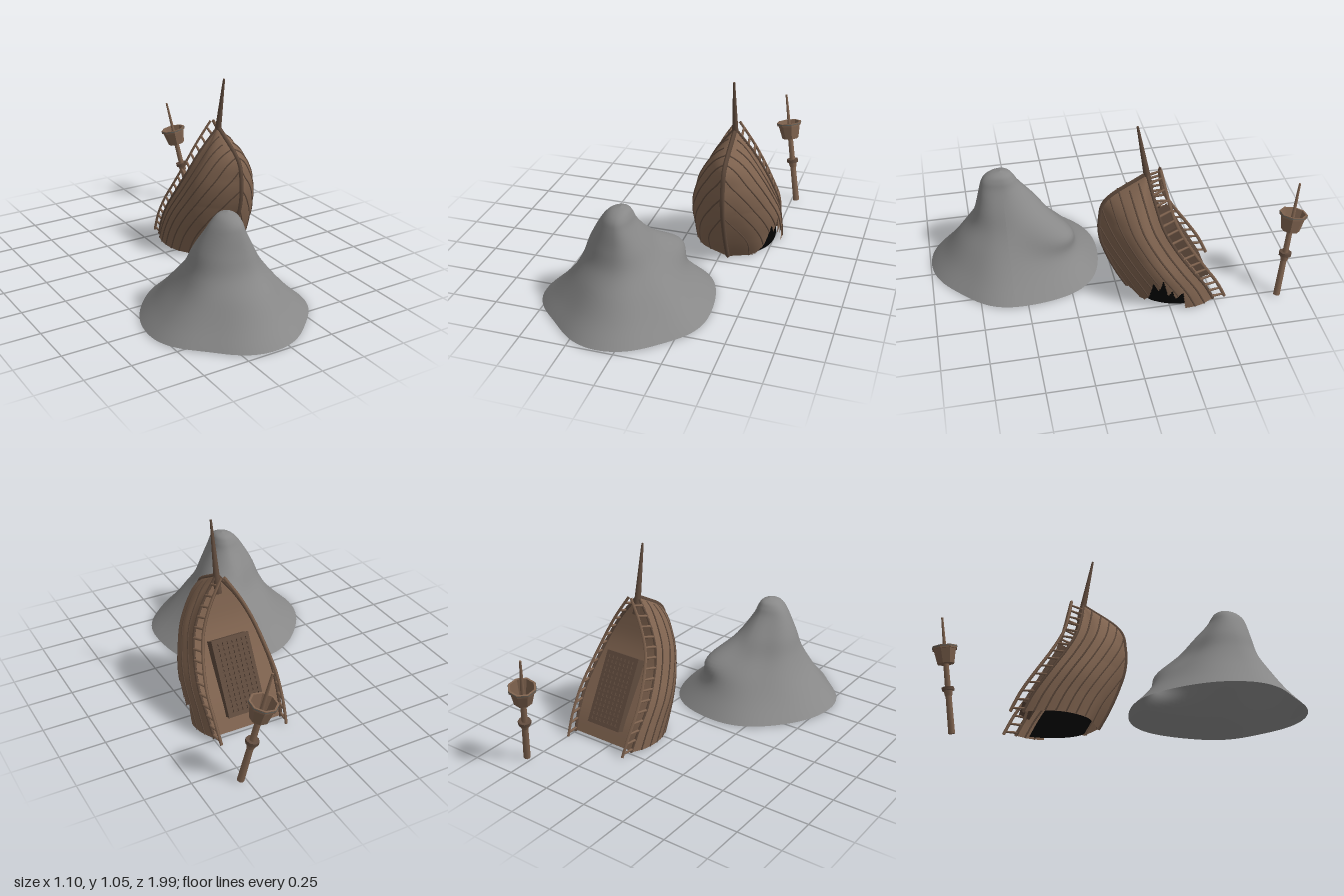
import * as THREE from 'three';

const mat = (color) => new THREE.MeshStandardMaterial({ color, side: THREE.DoubleSide });
const wood = mat(0x7f634f), darkWood = mat(0x604b3d), rockGrey = mat(0x888888);
const black = mat(0x030303), iron = mat(0x5e6360);

// smooth interpolation through evenly spaced values, u in 0..1
function spline(vals, u) {
  const n = vals.length - 1, f = Math.min(Math.max(u, 0), 1) * n;
  const i = Math.min(Math.floor(f), n - 1), t = f - i;
  const b = vals[i], c = vals[i + 1];
  const a = i > 0 ? vals[i - 1] : 2 * b - c, d = i < n - 1 ? vals[i + 2] : 2 * c - b;
  return b + 0.5 * t * (c - a + t * (2 * a - 5 * b + 4 * c - d + t * (3 * (b - c) + d - a)));
}

// surface grid from a point rule; skip() leaves out single cells
function grid(fn, nu, nv, skip = () => false) {
  const pos = [], idx = [];
  for (let i = 0; i <= nu; i++) for (let j = 0; j <= nv; j++) pos.push(...fn(i / nu, j / nv));
  for (let i = 0; i < nu; i++) for (let j = 0; j < nv; j++) {
    if (skip(...fn((i + 0.5) / nu, (j + 0.5) / nv))) continue;
    const a = i * (nv + 1) + j, b = a + nv + 1;
    idx.push(a, b, a + 1, b, b + 1, a + 1);
  }
  const g = new THREE.BufferGeometry();
  g.setAttribute('position', new THREE.Float32BufferAttribute(pos, 3));
  g.setIndex(idx);
  g.computeVertexNormals();
  return g;
}

function add(parent, name, geo, material, x = 0, y = 0, z = 0) {
  const m = new THREE.Mesh(geo, material);
  m.name = name;
  m.position.set(x, y, z);
  parent.add(m);
  return m;
}

function tube(parent, name, pts, r, material) {
  const path = new THREE.CatmullRomCurve3(pts.map((p) => new THREE.Vector3(...p)));
  return add(parent, name, new THREE.TubeGeometry(path, Math.max(8, pts.length * 2), r, 4), material);
}

// tapered rod between two points
function rod(parent, name, a, b, r0, r1, material, sides = 8) {
  const A = new THREE.Vector3(...a), B = new THREE.Vector3(...b), d = B.clone().sub(A);
  const m = add(parent, name, new THREE.CylinderGeometry(r1, r0, d.length(), sides), material);
  m.position.copy(A).add(B).multiplyScalar(0.5);
  m.quaternion.setFromUnitVectors(new THREE.Vector3(0, 1, 0), d.normalize());
}

// hull lines by height: sheer z, stem z, half width
const TOP = 0.75;
const sheerZ = (y) => spline([-0.5, -0.44, -0.36, -0.28, -0.215, -0.18, -0.155], y / TOP);
const stemZ = (y) => spline([-0.065, 0, 0.052, 0.09, 0.094, 0.055, -0.14], y / TOP);
const halfW = (y) => spline([0.245, 0.252, 0.25, 0.22, 0.175, 0.104, 0.01], y / TOP);
function hullPoint(y, t, s) {
  const h = y / TOP, low = 1 - Math.min(1, h * 2.2);
  const f = spline([0.8 + 0.2 * h, 0.95, 1, 0.93 + 0.05 * low, 0.74 + 0.13 * low, 0.44 + 0.18 * low, 0], t);
  return [s * halfW(y) * f, y, sheerZ(y) + t * (stemZ(y) - sheerZ(y))];
}
// jagged breach low on the left side
const breach = [[-0.33, 0], [-0.31, 0.13], [-0.27, 0.09], [-0.25, 0.15], [-0.23, 0.11], [-0.2, 0.23],
  [-0.18, 0.14], [-0.15, 0.2], [-0.14, 0.08], [-0.115, 0]];
function inBreach(x, y, z) {
  if (x < 0) return false;
  for (let i = 0; i < breach.length - 1; i++) {
    const [a, ya] = breach[i], [b, yb] = breach[i + 1];
    if (z >= a && z < b) return y < ya + (yb - ya) * (z - a) / (b - a);
  }
  return false;
}

function createShip() {
  const ship = new THREE.Group();
  ship.name = 'shipwreck';
  ship.position.x = 0.298;
  const Y0 = 0.012, at = (u) => Y0 + (TOP - Y0) * u;

  for (const s of [-1, 1]) {
    add(ship, 'hullSide', grid((u, v) => hullPoint(at(u), v, s), 120, 100, inBreach), wood);

    // raised planks parallel to the sheer
    for (const d of [0, 0.055, 0.11, 0.165, 0.22, 0.275, 0.33, 0.385]) {
      const pts = [];
      for (let i = 45; i >= 0; i--) {
        const y = at(i / 45), t = d / (stemZ(y) - sheerZ(y));
        if (t > 1) continue;
        const p = hullPoint(y, t, s);
        if (inBreach(...p)) break;
        pts.push(p);
      }
      if (pts.length > 2) tube(ship, 'hullPlank', pts, d ? 0.005 : 0.009, darkWood);
    }

    // railing
    const railPoint = (y) => {
      const p = hullPoint(y, 0, s);
      return [p[0] * (0.97 - 0.12 * y / TOP), y + 0.025 * y / TOP, p[2] - 0.068];
    };
    tube(ship, 'rail', Array.from({ length: 16 }, (_, i) => railPoint(at(i / 15))), 0.009, wood);
    for (let i = 0; i < 15; i++) {
      const y = 0.03 + i * 0.049;
      rod(ship, 'railPost', hullPoint(y, 0, s), railPoint(y), 0.008, 0.006, wood, 6);
    }
  }

  // dark hold behind the breach
  add(ship, 'darkHold', grid((u, v) => {
    const p = hullPoint(0.012 + 0.25 * u, 0.2 + 0.68 * v, 1);
    return [p[0] * 0.84, p[1], p[2] - 0.01];
  }, 10, 16), black);

  // deck
  add(ship, 'deck', grid((u, v) => {
    const p = hullPoint(at(u), 0, 1);
    return [p[0] * (2 * v - 1), p[1], p[2] + 0.012];
  }, 24, 4), wood);

  // stem and bowsprit
  tube(ship, 'stem', Array.from({ length: 24 }, (_, i) => {
    const y = at(i / 23);
    return [0, y, stemZ(y) - 0.002];
  }), 0.013, darkWood);
  rod(ship, 'bowsprit', [0, 0.66, -0.17], [0, 1.05, -0.1], 0.021, 0.006, darkWood);

  // hatch with grating, lying on the sloping deck
  const hatch = new THREE.Group();
  hatch.name = 'hatch';
  hatch.position.set(0, 0.28, -0.383);
  hatch.rotation.x = -Math.PI + Math.atan2(0.475, 0.88);
  ship.add(hatch);
  const W = 0.215, H = 0.41, cols = 7, rows = 14, cell = 0.027;
  const shape = new THREE.Shape([[-1, -1], [1, -1], [1, 1], [-1, 1]]
    .map(([a, b]) => new THREE.Vector2(a * W / 2, b * H / 2)));
  for (let i = 0; i < cols; i++) for (let j = 0; j < rows; j++) {
    const cx = (i - (cols - 1) / 2) * cell, cy = (j - (rows - 1) / 2) * cell, h = 0.0075;
    shape.holes.push(new THREE.Path([[-1, -1], [-1, 1], [1, 1], [1, -1]]
      .map(([a, b]) => new THREE.Vector2(cx + a * h, cy + b * h))));
  }
  add(hatch, 'grating', new THREE.ExtrudeGeometry(shape, { depth: 0.01, bevelEnabled: false }), darkWood);
  add(hatch, 'hatchBase', new THREE.BoxGeometry(W - 0.006, H - 0.006, 0.055), darkWood, 0, 0, -0.0275);
  return ship;
}

function createMast() {
  const mast = new THREE.Group();
  mast.name = 'mast';
  const foot = new THREE.Vector3(0.53, 0.012, -0.847), tip = new THREE.Vector3(0.415, 0.665, -0.95);
  const axis = tip.clone().sub(foot), len = axis.length();
  mast.position.copy(foot);
  mast.quaternion.setFromUnitVectors(new THREE.Vector3(0, 1, 0), axis.normalize());
  const cyl = (name, rTop, rBot, y0, y1, m) =>
    add(mast, name, new THREE.CylinderGeometry(rTop, rBot, y1 - y0, 8), m, 0, (y0 + y1) / 2, 0);
  cyl('lowerMast', 0.015, 0.019, 0, 0.43, wood);
  cyl('topMast', 0.006, 0.012, 0.4, len, wood);
  cyl('collar', 0.035, 0.035, 0.245, 0.265, darkWood);
  cyl('collarSupport', 0.026, 0.02, 0.215, 0.245, wood);
  // lookout basket
  const wall = [[0.012, 0.4], [0.05, 0.4], [0.066, 0.482], [0.074, 0.482], [0.075, 0.5], [0.064, 0.5], [0.045, 0.41], [0.012, 0.41]];
  const basketGeo = new THREE.LatheGeometry(wall.map((p) => new THREE.Vector2(...p)), 8).toNonIndexed();
  basketGeo.computeVertexNormals();
  const basket = add(mast, 'lookoutBasket', basketGeo, wood);
  basket.rotation.y = Math.PI / 8;
  const rim = add(basket, 'basketRim', new THREE.TorusGeometry(0.071, 0.006, 4, 8), iron, 0, 0.494, 0);
  rim.rotation.x = Math.PI / 2;
  return mast;
}

function createRock() {
  // reach of the rock at each height towards +x, -x, +z, -z
  const levels = [0.01, 0.1, 0.2, 0.3, 0.4, 0.5, 0.55, 0.58, 0.595];
  const right = [0.36, 0.27, 0.18, 0.1, 0.04, -0.02, -0.04, -0.06, -0.1];
  const left = [-0.55, -0.46, -0.375, -0.315, -0.275, -0.22, -0.185, -0.15, -0.1];
  const front = [1, 0.91, 0.83, 0.75, 0.715, 0.69, 0.67, 0.63, 0.57];
  const back = [0.05, 0.13, 0.21, 0.31, 0.38, 0.465, 0.495, 0.52, 0.57];
  const bump = (a, b, w) => Math.exp(-((Math.atan2(Math.sin(a - b), Math.cos(a - b)) / w) ** 2));
  const point = (u, v) => {
    const a = v * Math.PI * 2, c = Math.cos(a), s = Math.sin(a), y = spline(levels, u);
    const shoulder = Math.exp(-(((y - 0.28) / 0.085) ** 2)), body = Math.sin(Math.PI * Math.min(1, y / 0.6));
    const base = 1 - y / 0.6;
    const k = 1 + 0.42 * shoulder * bump(a, -0.85, 0.42) - 0.07 * body * bump(a, 0.15, 0.4)
      - 0.08 * body * bump(a, -2.1, 0.5) + 0.02 * body * Math.sin(5 * a + 6 * y)
      + base * (0.1 * bump(a, -0.78, 0.45) - 0.13 * bump(a, 2.36, 0.5)
        - 0.08 * bump(a, 0.78, 0.45) - 0.05 * bump(a, -2.36, 0.45));
    const rx = c > 0 ? spline(right, u) + 0.1 : -0.1 - spline(left, u);
    const rz = s > 0 ? spline(front, u) - 0.57 : 0.57 - spline(back, u);
    return [-0.1 + rx * c * k, y, 0.57 + rz * s * k];
  };
  return new THREE.Mesh(grid(point, 48, 96), rockGrey);
}

export function createModel() {
  const model = new THREE.Group();
  model.name = 'shipwreckScene';
  const rock = createRock();
  rock.name = 'rock';
  model.add(rock, createShip(), createMast());
  return model;
}
